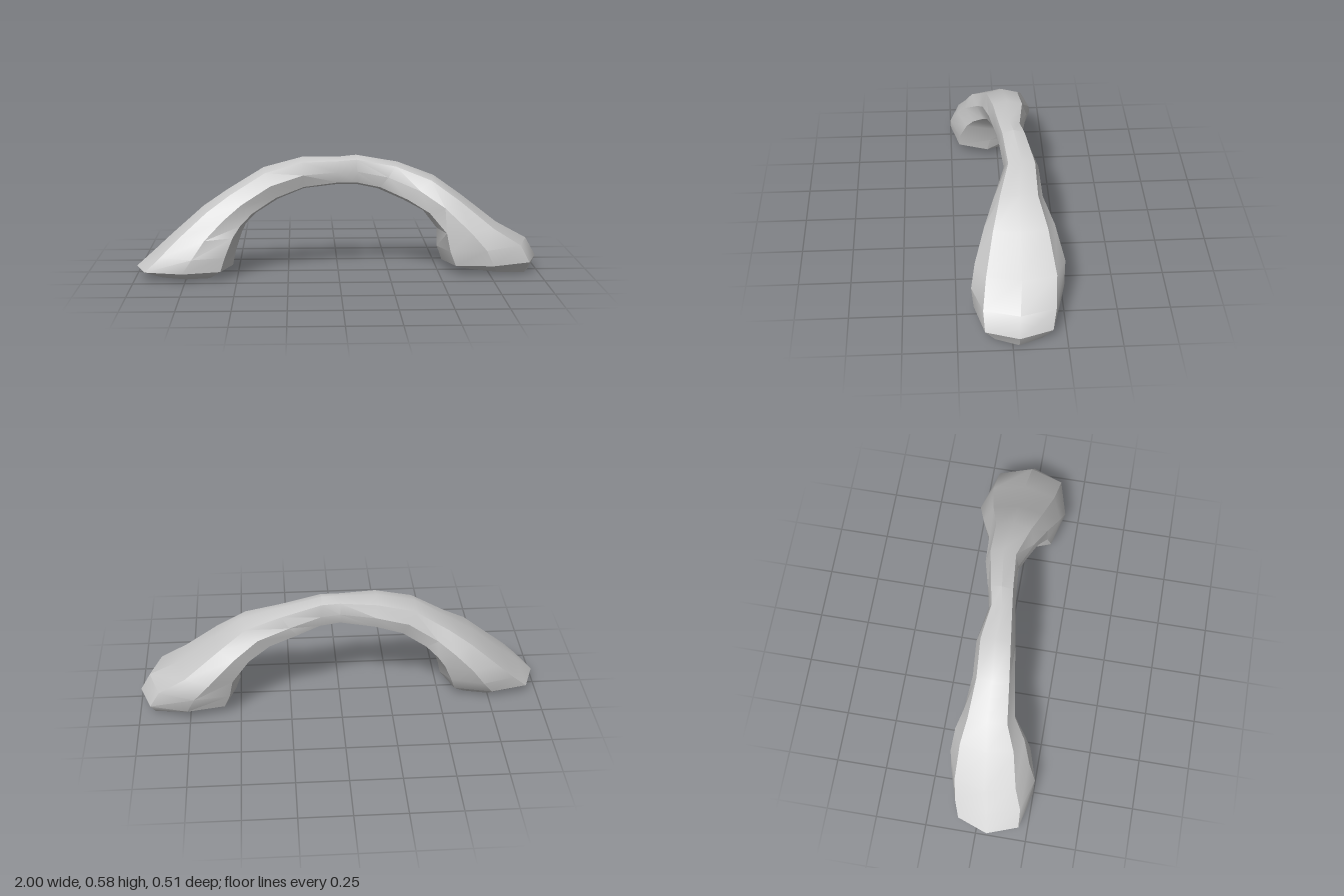
import * as THREE from 'three';
import { toCreasedNormals } from 'three/addons/utils/BufferGeometryUtils.js';

const SIDES = 8;

// Cross-sections from one foot to the other:
// outer x, outer y, inner x, inner y, front z, back z
const sections = [
  [-0.90, 0.012, -0.60, 0.005, 0.18, -0.09],
  [-1.00, 0.05, -0.525, 0.05, 0.25, -0.14],
  [-0.92, 0.12, -0.51, 0.12, 0.25, -0.17],
  [-0.83, 0.20, -0.48, 0.21, 0.21, -0.18],
  [-0.67, 0.34, -0.46, 0.25, 0.17, -0.17],
  [-0.55, 0.42, -0.41, 0.30, 0.11, -0.14],
  [-0.37, 0.53, -0.30, 0.37, 0.085, -0.12],
  [-0.18, 0.578, -0.17, 0.42, 0.06, -0.13],
  [0.00, 0.578, 0.00, 0.44, 0.03, -0.10],
  [0.09, 0.585, 0.10, 0.435, 0.02, -0.12],
  [0.30, 0.545, 0.20, 0.41, 0.005, -0.16],
  [0.48, 0.48, 0.33, 0.355, 0.06, -0.17],
  [0.62, 0.38, 0.43, 0.30, 0.11, -0.22],
  [0.80, 0.24, 0.50, 0.21, 0.16, -0.26],
  [0.95, 0.16, 0.50, 0.12, 0.18, -0.25],
  [1.00, 0.07, 0.525, 0.05, 0.17, -0.23],
  [0.97, 0.005, 0.60, 0.03, 0.11, -0.17],
];

// Rounded-square curve, fuller than an ellipse
const full = (v) => Math.sign(v) * Math.pow(Math.abs(v), 0.75);

function archGeometry() {
  const positions = [];
  const index = [];
  sections.forEach(([ox, oy, ix, iy, zf, zb]) => {
    for (let j = 0; j < SIDES; j++) {
      const a = (j / SIDES) * Math.PI * 2;
      const c = full(Math.cos(a)) / 2;
      const s = full(Math.sin(a)) / 2;
      positions.push(
        (ox + ix) / 2 + c * (ox - ix),
        (oy + iy) / 2 + c * (oy - iy),
        (zf + zb) / 2 + s * (zf - zb)
      );
    }
  });

  // Skin between neighbouring sections
  const last = sections.length - 1;
  for (let i = 0; i < last; i++) {
    for (let j = 0; j < SIDES; j++) {
      const k = (j + 1) % SIDES;
      const a = i * SIDES + j, b = i * SIDES + k;
      const c = b + SIDES, d = a + SIDES;
      index.push(a, b, c, a, c, d);
    }
  }

  // Flat soles under both feet
  for (let j = 1; j < SIDES - 1; j++) {
    index.push(0, j + 1, j);
    index.push(last * SIDES, last * SIDES + j, last * SIDES + j + 1);
  }

  const geometry = new THREE.BufferGeometry();
  geometry.setAttribute('position', new THREE.Float32BufferAttribute(positions, 3));
  geometry.setIndex(index);
  return toCreasedNormals(geometry, 0.65);
}

export function createModel() {
  const group = new THREE.Group();
  group.name = 'rockArch';
  const arch = new THREE.Mesh(
    archGeometry(),
    new THREE.MeshStandardMaterial({ color: 0xcccccc })
  );
  arch.name = 'archStone';
  group.add(arch);
  return group;
}
